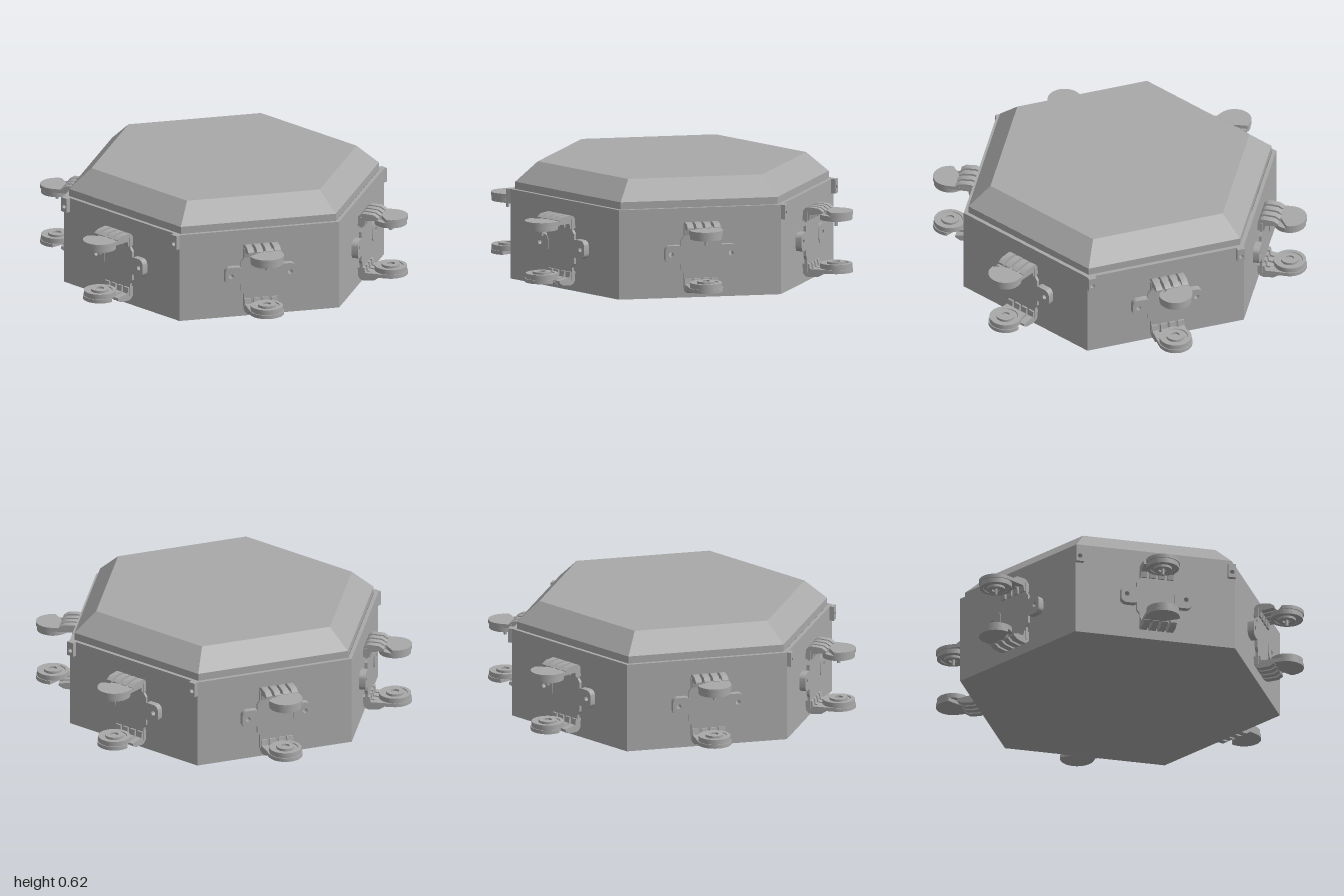
import * as THREE from 'three';
import { toCreasedNormals } from 'three/addons/utils/BufferGeometryUtils.js';

const APOTHEM = 0.75, RADIUS = APOTHEM / Math.cos(Math.PI / 6);
const EAR_Y = 0.235, MID_Y = 0.222, ARM_X = 0.91;

const grey = new THREE.MeshStandardMaterial({ color: 0xa8a8a8 });
grey.name = 'grey';

function part(name, geometry, parent) {
  const mesh = new THREE.Mesh(toCreasedNormals(geometry, 0.6), grey);
  mesh.name = name;
  parent.add(mesh);
  return mesh;
}

function polygon(points) {
  return new THREE.Shape(points.map(([x, y]) => new THREE.Vector2(x, y)));
}

function addHole(shape, x, y, r) {
  shape.holes.push(new THREE.Path().absarc(x, y, r, 0, Math.PI * 2, true));
}

function roundedRect(x0, y0, x1, y1, r) {
  const s = new THREE.Shape();
  s.absarc(x1 - r, y0 + r, r, -Math.PI / 2, 0);
  s.absarc(x1 - r, y1 - r, r, 0, Math.PI / 2);
  s.absarc(x0 + r, y1 - r, r, Math.PI / 2, Math.PI);
  s.absarc(x0 + r, y0 + r, r, Math.PI, Math.PI * 1.5);
  return s;
}

function extrude(shape, depth) {
  return new THREE.ExtrudeGeometry(shape, { depth, bevelEnabled: false, curveSegments: 8 });
}

// Upright plate facing +x, between two distances from the centre
function upright(shape, from, to) {
  return extrude(shape, to - from).rotateY(Math.PI / 2).translate(from, 0, 0);
}

// Wall of one side, with screw holes
function wallPanel(withTabs) {
  const w = RADIUS / 2;
  const s = polygon([[-w, 0], [w, 0], [w, 0.477], [-w, 0.477]]);
  for (const side of [-1, 1]) {
    addHole(s, side * 0.16, EAR_Y, 0.013);
    if (withTabs) addHole(s, side * 0.412, 0.43, 0.012);
  }
  return upright(s, APOTHEM - 0.02, APOTHEM);
}

// Arm with its bent ribs and round horn; built for the upper end
function buildArm(withPin) {
  const arm = new THREE.Group();
  arm.name = withPin ? 'upperArm' : 'lowerArm';

  const s = new THREE.Shape();
  s.moveTo(0.79, -0.09);
  s.absarc(ARM_X, 0, 0.09, -Math.PI / 2, Math.PI / 2);
  s.lineTo(0.79, 0.09);
  addHole(s, ARM_X, 0, 0.02);
  for (const [dx, dz] of [[-0.04, 0.042], [-0.04, -0.042], [0.045, 0.045], [0.045, -0.045]]) {
    addHole(s, ARM_X + dx, dz, 0.01);
  }
  part('armPlate', extrude(s, 0.02).rotateX(-Math.PI / 2).translate(0, 0.143, 0), arm);

  // Ribs that bend from the upright plate over onto the arm
  const rib = polygon([[0.754, 0.115], [0.79, 0.115], [0.795, 0.145], [0.865, 0.155],
    [0.865, 0.166], [0.84, 0.182], [0.785, 0.186], [0.768, 0.18], [0.756, 0.165]]);
  for (let i = 0; i < 4; i++) {
    part('bendRib', extrude(rib, 0.034).translate(0, 0, -0.089 + i * 0.048), arm);
  }

  // Stepped horn disc
  const profile = [[0, 0.118], [0.022, 0.118], [0.022, 0.108], [0.048, 0.108], [0.048, 0.121],
    [0.064, 0.121], [0.066, 0.116], [0.085, 0.116], [0.085, 0.143], [0, 0.143]];
  const disc = new THREE.LatheGeometry(profile.map(([x, y]) => new THREE.Vector2(x, y)), 32);
  part('hornDisc', disc.translate(ARM_X, 0, 0), arm);
  part('screwHead', new THREE.CylinderGeometry(0.012, 0.012, 0.012, 12).translate(ARM_X, 0.149, 0), arm);
  if (withPin) {
    part('pin', new THREE.CylinderGeometry(0.009, 0.009, 0.04, 12).translate(ARM_X, 0.1, 0), arm);
  }
  return arm;
}

// U-shaped bracket reaching out along +x
function buildBracket() {
  const bracket = new THREE.Group();
  bracket.name = 'legBracket';
  const plate = polygon([[-0.092, 0.06], [0.092, 0.06], [0.092, 0.13], [0.107, 0.15], [0.107, 0.31],
    [0.092, 0.33], [0.092, 0.385], [-0.092, 0.385], [-0.092, 0.33], [-0.107, 0.31],
    [-0.107, 0.15], [-0.092, 0.13]]);
  part('backPlate', upright(plate, 0.765, 0.78), bracket);
  for (const side of [-1, 1]) {
    const ear = side > 0 ? roundedRect(0.095, 0.185, 0.192, 0.283, 0.03)
      : roundedRect(-0.192, 0.185, -0.095, 0.283, 0.03);
    addHole(ear, side * 0.16, EAR_Y, 0.013);
    part('mountingEar', upright(ear, 0.75, 0.784), bracket);
  }
  const upper = buildArm(true), lower = buildArm(false);
  lower.rotation.x = Math.PI;
  upper.position.y = lower.position.y = MID_Y;
  bracket.add(upper, lower);
  return bracket;
}

export function createModel() {
  const model = new THREE.Group();
  model.name = 'hexagonalBase';

  // Hollow body
  part('floor', new THREE.CylinderGeometry(RADIUS, RADIUS, 0.02, 6).translate(0, 0.01, 0), model);
  for (let i = 0; i < 6; i++) {
    const angle = i * Math.PI / 3;
    part('wall', wallPanel(i % 3 === 0), model).rotation.y = angle;
    const bracket = buildBracket();
    bracket.rotation.y = angle;
    model.add(bracket);
  }

  // Lid with a short rim and sloping sides
  part('lidRim', new THREE.CylinderGeometry(0.84, 0.84, 0.04, 6).translate(0, 0.495, 0), model);
  part('lid', new THREE.CylinderGeometry(0.718, 0.84, 0.105, 6).translate(0, 0.5675 - 0.0005, 0), model);

  // Screw tabs at the four side corners
  for (const angle of [0, Math.PI]) {
    for (const side of [-1, 1]) {
      const a = side * 0.412;
      const tab = polygon([[a - 0.021, 0.4], [a + 0.021, 0.4], [a + 0.021, 0.477], [a - 0.021, 0.477]]);
      addHole(tab, a, 0.43, 0.012);
      part('screwTab', upright(tab, 0.75, 0.773), model).rotation.y = angle;
    }
  }
  return model;
}
